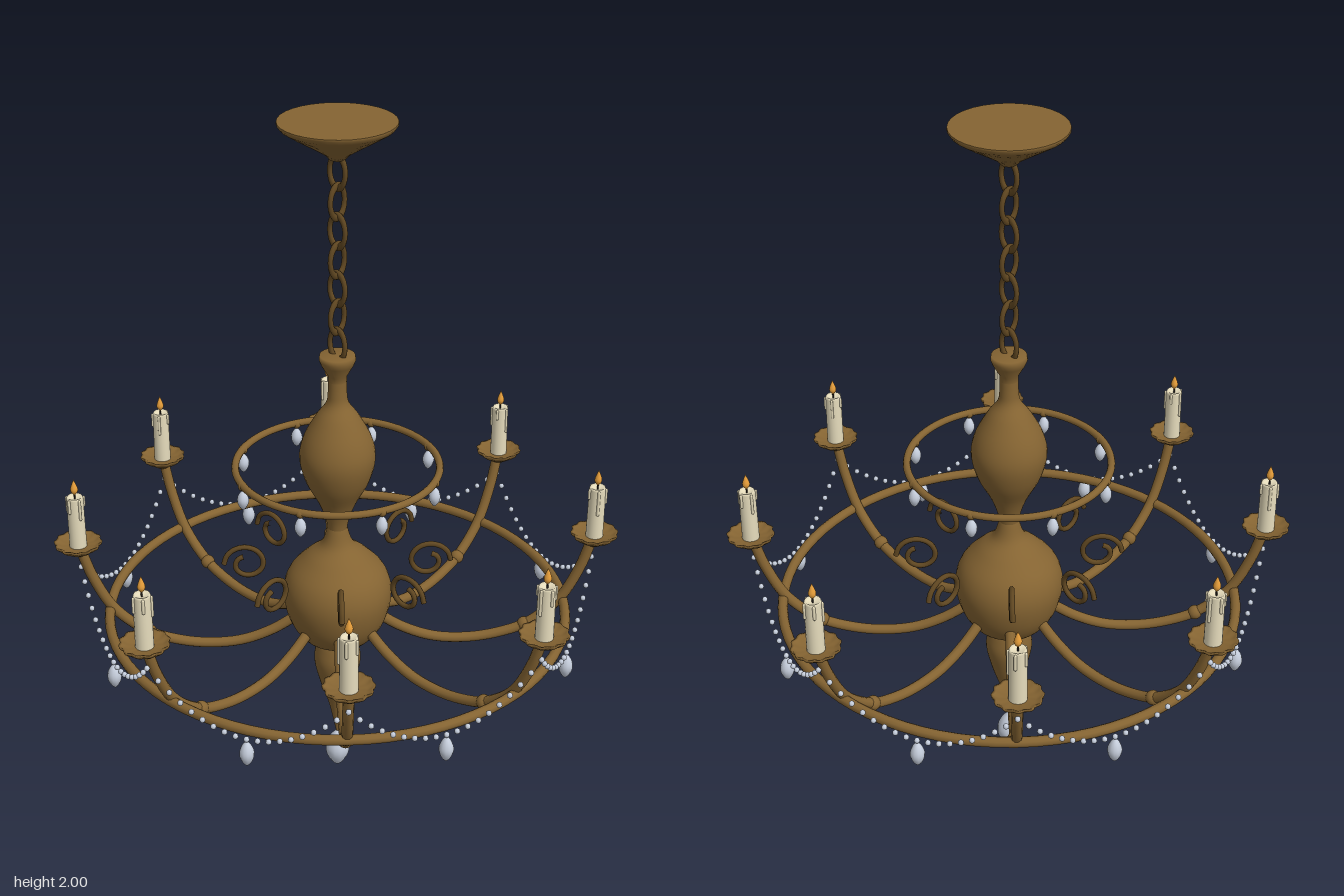
import * as THREE from 'three';
import { mergeGeometries } from 'three/addons/utils/BufferGeometryUtils.js';

const material = (name, color, extra = {}) =>
  Object.assign(new THREE.MeshStandardMaterial({ color, ...extra }), { name });

export function createModel() {
  const bronze = material('bronze', 0x856432, { side: THREE.DoubleSide });
  const darkBronze = material('dark bronze', 0x604721);
  const wax = material('wax', 0xe6dcbc);
  const flameMat = material('flame', 0xeca23c);
  const wickMat = material('wick', 0x2a2420);
  const crystal = material('crystal', 0xc6cedc);

  const model = new THREE.Group();
  model.name = 'chandelier';
  const add = (parent, name, geometry, mat, x = 0, y = 0, z = 0) => {
    const mesh = new THREE.Mesh(geometry, mat);
    mesh.name = name;
    mesh.position.set(x, y, z);
    parent.add(mesh);
    return mesh;
  };
  const points = list => list.map(([x, y]) => new THREE.Vector2(x, y));
  const lathe = (list, sides = 32) => new THREE.LatheGeometry(points(list), sides);
  const smoothLathe = (list, steps, sides = 32) => {
    const profile = new THREE.SplineCurve(points(list)).getPoints(steps);
    profile.forEach(p => { p.x = Math.max(p.x, 0); });
    return new THREE.LatheGeometry(profile, sides);
  };
  const path = list => new THREE.CatmullRomCurve3(list.map(([x, y]) => new THREE.Vector3(x, y, 0)));

  // Ceiling canopy
  add(model, 'canopy', lathe([[0, 1.9], [0.02, 1.9], [0.035, 1.915], [0.075, 1.94], [0.12, 1.967],
    [0.148, 1.985], [0.155, 1.995], [0.154, 2]]), bronze);
  const lid = add(model, 'canopyTop', new THREE.CircleGeometry(0.154, 32), bronze, 0, 2, 0);
  lid.rotation.x = -Math.PI / 2;

  // Chain of alternating oval links
  const linkGeometry = new THREE.TorusGeometry(0.027, 0.007, 8, 20).scale(1, 1.6, 1);
  for (let i = 0; i < 7; i++) {
    const link = add(model, 'chainLink', linkGeometry, darkBronze, 0, 1.867 - i * 0.08, 0);
    link.rotation.y = (i % 2) * Math.PI / 2;
  }

  // Turned central column
  add(model, 'columnCap', lathe([[0.025, 1.28], [0.026, 1.298], [0.044, 1.33], [0.05, 1.345], [0.048, 1.358],
    [0, 1.358]]), bronze);
  add(model, 'columnVase', smoothLathe([[0.025, 0.8], [0.031, 0.85], [0.052, 0.91], [0.088, 0.98],
    [0.105, 1.05], [0.094, 1.11], [0.06, 1.175], [0.032, 1.215], [0.026, 1.25], [0.025, 1.3]], 40), bronze);
  add(model, 'columnBowl', smoothLathe([[0.05, 0.455], [0.1, 0.48], [0.138, 0.54], [0.154, 0.62],
    [0.138, 0.685], [0.09, 0.74], [0.045, 0.78], [0.028, 0.83]], 36), bronze);
  add(model, 'columnFinial', smoothLathe([[0.004, 0.13], [0.012, 0.17], [0.026, 0.235], [0.05, 0.31],
    [0.067, 0.385], [0.062, 0.435], [0.052, 0.47]], 30), bronze);

  // Smooth cut-glass drops: unit height, rounded belly
  const dropGeometry = (height, radius) =>
    smoothLathe([[0, 0], [0.5, 0.13], [0.92, 0.36], [0.96, 0.58], [0.6, 0.82], [0, 1]], 14, 12)
      .scale(radius, height, radius);
  add(model, 'finialCrystal', dropGeometry(0.13, 0.036), crystal, 0, 0.005, 0);

  // Large and small hoops
  const hoop = (name, radius, tube, y) =>
    add(model, name, new THREE.TorusGeometry(radius, tube, 10, 80).rotateX(Math.PI / 2), bronze, 0, y, 0);
  hoop('mainRing', 0.648, 0.0145, 0.575);
  hoop('upperRing', 0.281, 0.0105, 1.025);

  // Geometry shared by the eight arms
  const armGeometry = new THREE.TubeGeometry(path([[0.1, 0.55], [0.19, 0.492], [0.28, 0.459], [0.38, 0.453],
    [0.47, 0.468], [0.545, 0.497], [0.635, 0.575], [0.69, 0.68], [0.72, 0.775]]), 40, 0.015, 10);
  const spiral = [];
  for (let i = 0; i <= 16; i++) {
    const a = i / 16 * Math.PI * 2.4;
    const r = 0.064 - 0.04 * i / 16;
    spiral.push([0.257 + r * Math.cos(a), 0.715 + r * Math.sin(a) * 0.95]);
  }
  const scrollGeometry = new THREE.TubeGeometry(path(spiral), 48, 0.0078, 7);

  // Scalloped drip pan, rim radius varied around the circle
  const panGeometry = lathe([[0, 0.757], [0.022, 0.76], [0.03, 0.769], [0.048, 0.777], [0.063, 0.79], [0.065, 0.798],
    [0.059, 0.796], [0.045, 0.787], [0, 0.785]], 72);
  const pos = panGeometry.attributes.position;
  for (let i = 0; i < pos.count; i++) {
    const x = pos.getX(i), z = pos.getZ(i);
    const s = 1 + 0.04 * Math.cos(12 * Math.atan2(z, x)) * THREE.MathUtils.smoothstep(Math.hypot(x, z), 0.03, 0.06);
    pos.setX(i, x * s);
    pos.setZ(i, z * s);
  }
  panGeometry.computeVertexNormals();

  const candleGeometry = lathe([[0.0245, 0.783], [0.0235, 0.936], [0.021, 0.942], [0.016, 0.938], [0, 0.934]], 20);
  const dripGeometry = mergeGeometries([0.04, 0.07, 0.025, 0.055, 0.035].map((length, i) => {
    const a = i * 1.26 + 0.3;
    return new THREE.CapsuleGeometry(0.0042, length, 3, 7)
      .translate(Math.cos(a) * 0.0245, 0.935 - length / 2, Math.sin(a) * 0.0245);
  }));
  const flameGeometry = smoothLathe([[0, 0.946], [0.008, 0.955], [0.0105, 0.965], [0.006, 0.98], [0, 0.995]], 14, 12);
  const smallDrop = dropGeometry(0.062, 0.0165);
  const largeDrop = dropGeometry(0.08, 0.02);

  // Beads hung in a curve from one arm to the next, centred on +x
  const half = Math.PI / 8, endRadius = 0.722;
  const beads = [];
  for (let i = 0; i <= 18; i++) {
    const t = i / 9 - 1;
    beads.push(new THREE.SphereGeometry(0.008, 8, 6).translate(
      endRadius * Math.cos(half) + 0.006 * (1 - t * t), 0.565 + 0.15 * t * t, t * endRadius * Math.sin(half)));
  }
  const garlandGeometry = mergeGeometries(beads);

  for (let i = 0; i < 8; i++) {
    // Arm with its scroll and candle
    const arm = new THREE.Group();
    arm.name = 'armAssembly';
    arm.rotation.y = i * Math.PI / 4;
    model.add(arm);
    add(arm, 'arm', armGeometry, bronze);
    add(arm, 'armKnop', new THREE.SphereGeometry(0.021, 14, 10), bronze, 0.54, 0.494, 0);
    add(arm, 'scroll', scrollGeometry, darkBronze);
    add(arm, 'dripPan', panGeometry, bronze, 0.725, 0, 0);
    add(arm, 'candle', candleGeometry, wax, 0.725, 0, 0);
    add(arm, 'waxDrips', dripGeometry, wax, 0.725, 0, 0);
    add(arm, 'wick', new THREE.CylinderGeometry(0.0025, 0.0025, 0.016, 6), wickMat, 0.725, 0.941, 0);
    add(arm, 'flame', flameGeometry, flameMat, 0.725, 0, 0);

    // Garland and pendants halfway between arms
    const swag = new THREE.Group();
    swag.name = 'garlandAssembly';
    swag.rotation.y = (i + 0.5) * Math.PI / 4;
    model.add(swag);
    add(swag, 'garland', garlandGeometry, crystal);
    add(swag, 'garlandCrystal', largeDrop, crystal, 0.673, 0.481, 0);
    add(swag, 'ringBead', new THREE.SphereGeometry(0.013, 10, 8), bronze, 0.281, 1.022, 0);
    add(swag, 'ringCrystal', smallDrop, crystal, 0.281, 0.95, 0);
  }
  return model;
}
